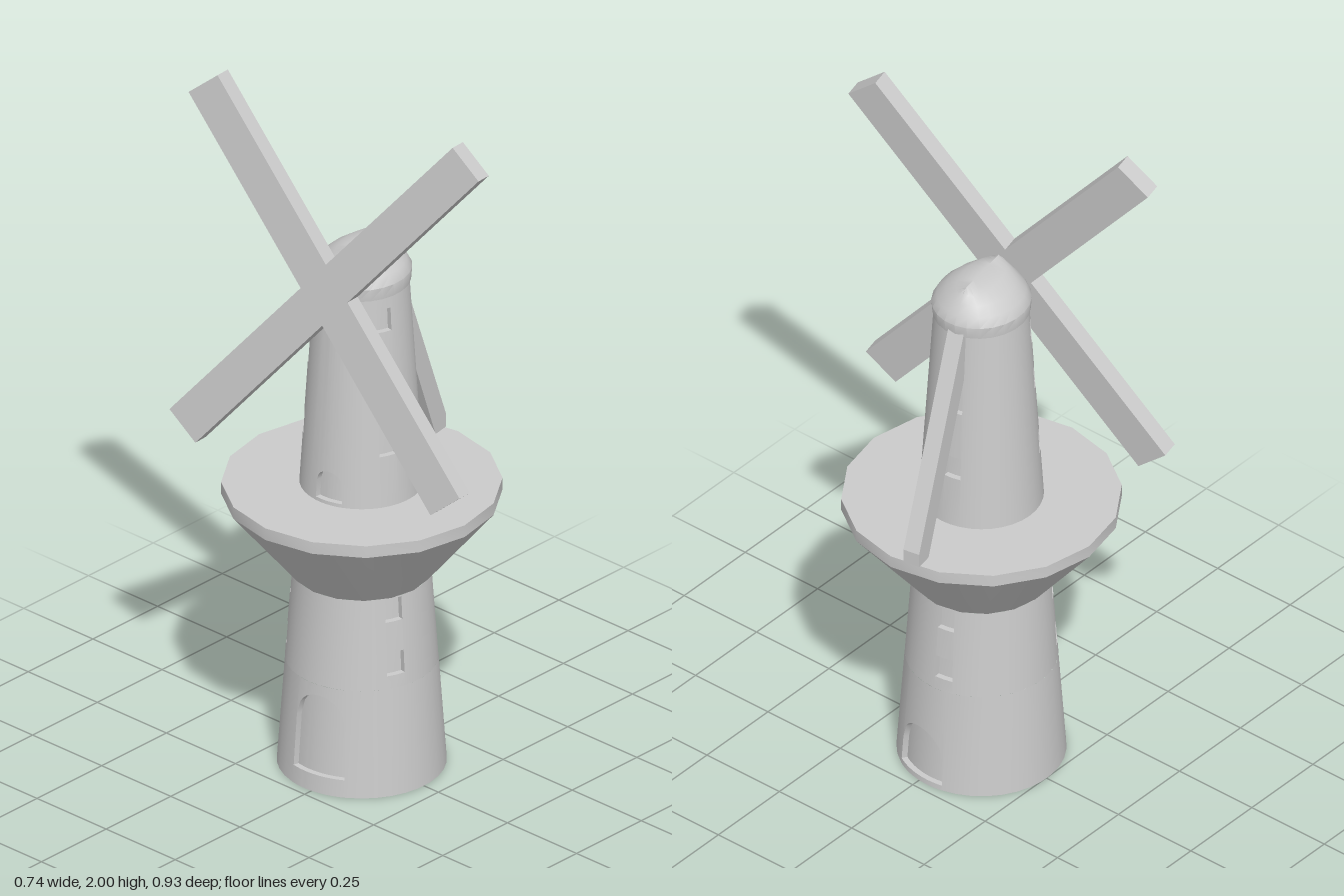
import * as THREE from 'three';
import { toCreasedNormals } from 'three/addons/utils/BufferGeometryUtils.js';

const rad = THREE.MathUtils.degToRad;
const grey = new THREE.MeshStandardMaterial({ color: 0xcccccc });

function add(parent, name, geometry) {
  const mesh = new THREE.Mesh(geometry, grey);
  mesh.name = name;
  parent.add(mesh);
  return mesh;
}

// Collects quads given counter-clockwise as seen from their front
function quadBuilder() {
  const pos = [];
  return {
    quad(a, b, c, d) { for (const p of [a, b, c, a, c, d]) pos.push(...p); },
    build() {
      const g = new THREE.BufferGeometry();
      g.setAttribute('position', new THREE.Float32BufferAttribute(pos, 3));
      g.computeVertexNormals();
      return toCreasedNormals(g, 0.6);
    },
  };
}

// Tapered round wall from y0 to y1 with recessed openings.
// columns: { az, half, openings: [{ bottom, spring, rise }] }, sorted by az (radians)
function recessedWall(radiusAt, y0, y1, columns, depth = 0.016) {
  const q = quadBuilder();
  const p = (az, y, inset = 0) => {
    const r = radiusAt(y) - inset;
    return [r * Math.sin(az), y, r * Math.cos(az)];
  };
  const face = (a, b, ya0, yb0, ya1, yb1, inset) =>
    q.quad(p(a, ya0, inset), p(b, yb0, inset), p(b, yb1, inset), p(a, ya1, inset));

  const band = (start, end, openings, steps) => {
    for (let i = 0; i < steps; i++) {
      const u = i / steps, v = (i + 1) / steps;
      const a = start + (end - start) * u, b = start + (end - start) * v;
      let ya = y0, yb = y0;
      for (const o of openings) {
        const top = t => o.spring + o.rise * Math.sqrt(Math.max(0, 1 - (2 * t - 1) ** 2));
        const ta = top(u), tb = top(v);
        face(a, b, ya, yb, o.bottom, o.bottom, 0);
        q.quad(p(a, o.bottom), p(b, o.bottom), p(b, o.bottom, depth), p(a, o.bottom, depth)); // sill
        face(a, b, o.bottom, o.bottom, ta, tb, depth);
        q.quad(p(a, ta, depth), p(b, tb, depth), p(b, tb), p(a, ta)); // head
        ya = ta; yb = tb;
      }
      face(a, b, ya, yb, y1, y1, 0);
    }
    // jambs
    for (const o of openings) {
      q.quad(p(start, o.bottom), p(start, o.bottom, depth), p(start, o.spring, depth), p(start, o.spring));
      q.quad(p(end, o.bottom, depth), p(end, o.bottom), p(end, o.spring), p(end, o.spring, depth));
    }
  };

  columns.forEach((c, i) => {
    const next = columns[(i + 1) % columns.length];
    const nextAz = next.az + (i + 1 === columns.length ? Math.PI * 2 : 0);
    const start = c.az + c.half, end = nextAz - next.half;
    band(c.az - c.half, c.az + c.half, c.openings, c.openings[0].rise ? 14 : 2);
    band(start, end, [], Math.ceil((end - start) / 0.19));
  });
  return q.build();
}

const windowColumn = (az, half, centres) => ({
  az: rad(az), half,
  openings: centres.map(y => ({ bottom: y - 0.033, spring: y + 0.033, rise: 0 })),
});
const door = (az, half, bottom, spring, rise) => ({ az: rad(az), half, openings: [{ bottom, spring, rise }] });

// Domed cap: elliptical rings that narrow to a straight ridge along x
function capGeometry() {
  const rings = [ // y, half length, half width
    [1.44, 0, 0], [1.44, 0.137, 0.128], [1.475, 0.142, 0.13], [1.5, 0.13, 0.115],
    [1.525, 0.114, 0.088], [1.547, 0.1, 0.052], [1.56, 0.088, 0],
  ];
  const q = quadBuilder(), n = 24;
  const p = ([y, rx, rz], k) => {
    const t = (k / n) * Math.PI * 2;
    return [rx * Math.sin(t), y, rz * Math.cos(t)];
  };
  for (let i = 0; i + 1 < rings.length; i++)
    for (let k = 0; k < n; k++)
      q.quad(p(rings[i], k), p(rings[i], k + 1), p(rings[i + 1], k + 1), p(rings[i + 1], k));
  return q.build();
}

export function createModel() {
  const model = new THREE.Group();
  model.name = 'windmill';
  const tower = new THREE.Group();
  tower.name = 'tower';
  tower.position.z = -0.027;
  model.add(tower);

  const lowerRadius = y => 0.225 - 0.04 * (y / 0.57);
  const upperRadius = y => 0.165 - 0.038 * ((y - 0.835) / 0.605);

  // Lower tower: arched doors at the foot, windows above
  add(tower, 'towerFoot', recessedWall(lowerRadius, 0, 0.31, [
    door(81, 0.37, 0.015, 0.085, 0.08),
    door(280, 0.37, 0.05, 0.2, 0.08),
  ]));
  const columnsAt = (half, ys) => [100, 220, 340].map(az => windowColumn(az, half, ys));
  add(tower, 'lowerTower', recessedWall(lowerRadius, 0.31, 0.572, columnsAt(0.13, [0.38, 0.535])));
  const floor = add(tower, 'towerFloor', new THREE.CircleGeometry(0.225, 32));
  floor.rotation.x = Math.PI / 2;

  // Flared sixteen-sided gallery
  const profile = [[0.17, 0.572], [0.187, 0.572], [0.372, 0.8], [0.372, 0.835], [0.1, 0.835]];
  const gallery = new THREE.LatheGeometry(profile.map(([x, y]) => new THREE.Vector2(x, y)), 16);
  add(tower, 'gallery', toCreasedNormals(gallery, 0.6));

  // Upper tower with windows and a small gallery door under the sails
  const upperColumns = columnsAt(0.16, [1.015, 1.22, 1.375]);
  upperColumns.splice(2, 0, door(280, 0.25, 0.845, 0.895, 0.035));
  add(tower, 'upperTower', recessedWall(upperRadius, 0.835, 1.45, upperColumns));

  // Turning head: cap, tail pole and sails share one heading
  const head = new THREE.Group();
  head.name = 'turningHead';
  head.rotation.y = rad(10);
  tower.add(head);
  add(head, 'cap', capGeometry());

  const poleShape = new THREE.Shape(
    [[0.11, 1.45], [0.11, 1.36], [0.32, 0.835], [0.37, 0.835], [0.37, 0.875], [0.135, 1.45]]
      .map(([x, y]) => new THREE.Vector2(x, y)));
  const pole = new THREE.ExtrudeGeometry(poleShape, { depth: 0.048, bevelEnabled: false });
  pole.translate(0, 0, -0.024);
  add(head, 'tailPole', pole);

  // Two crossed beams, tilted back slightly
  const sails = new THREE.Group();
  sails.name = 'sails';
  sails.position.set(-0.158, 1.468, 0);
  sails.rotation.z = rad(-5.8);
  head.add(sails);
  for (const side of [-1, 1]) {
    const beam = add(sails, 'sailBeam', new THREE.BoxGeometry(0.05, 1.288, 0.113));
    beam.rotation.x = side * rad(40);
  }
  return model;
}
